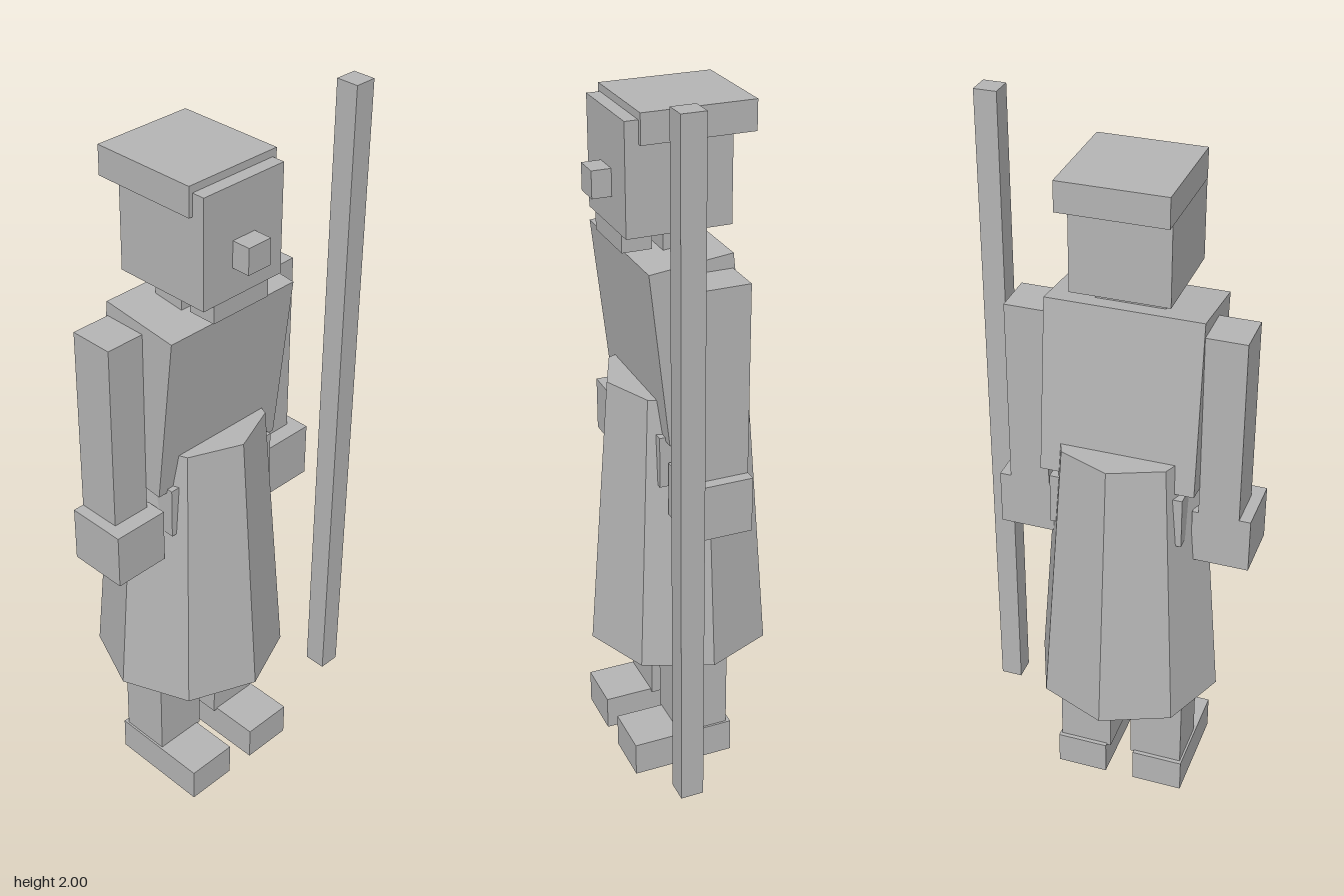
import * as THREE from 'three';

export function createModel() {
  const group = new THREE.Group();
  const grey = new THREE.MeshStandardMaterial({ color: 0xb4b4b4, flatShading: true });
  grey.name = 'plain grey';

  const add = (name, geometry, x, y, z) => {
    const mesh = new THREE.Mesh(geometry, grey);
    mesh.name = name;
    mesh.position.set(x, y, z);
    group.add(mesh);
    return mesh;
  };
  // Box given by its extent along each axis
  const box = (name, [x0, x1], [y0, y1], [z0, z1]) =>
    add(name, new THREE.BoxGeometry(x1 - x0, y1 - y0, z1 - z0),
      (x0 + x1) / 2, (y0 + y1) / 2, (z0 + z1) / 2);

  const midZ = 0.051; // body's centre plane; the figure looks along +x

  // Head, cap and face
  box('head', [-0.095, 0.188], [1.6, 1.895], [-0.08, 0.182]);
  box('cap', [-0.153, 0.152], [1.835, 1.915], [-0.093, 0.193]);
  box('nose', [0.186, 0.24], [1.68, 1.752], [0.014, 0.087]);
  box('beard', [0.105, 0.185], [1.55, 1.602], [-0.04, 0.145]);
  box('neck', [-0.015, 0.075], [1.5, 1.602], [-0.04, 0.145]);

  // Torso leans forward
  const torso = add('torso', new THREE.BoxGeometry(0.226, 0.482, 0.42), 0.022, 1.305, midZ);
  torso.rotation.z = -0.11;

  // Hips and eight-sided skirt
  box('hips', [-0.125, 0.125], [0.92, 1.065], [-0.131, 0.233]);
  add('skirt', new THREE.CylinderGeometry(0.2, 0.262, 0.79, 8), 0, 0.765, midZ);

  // Limbs on both sides of the centre plane
  for (const [side, s] of [['right', 1], ['left', -1]]) {
    const span = (inner, outer) => [midZ + s * inner, midZ + s * outer].sort((a, b) => a - b);
    box(side + 'Arm', [-0.063, 0.06], [0.99, 1.517], span(0.209, 0.319));
    box(side + 'Hand', [-0.063, 0.105], [0.84, 0.995], span(0.192, 0.35));
    box(side + 'Leg', [-0.073, 0.07], [0.095, 0.92], span(0.031, 0.183));
    box(side + 'Boot', [-0.085, 0.208], [0, 0.1], span(0.042, 0.189));
  }

  // Free-standing staff
  box('staff', [0.115, 0.179], [0.108, 2], [-0.402, -0.34]);

  return group;
}
